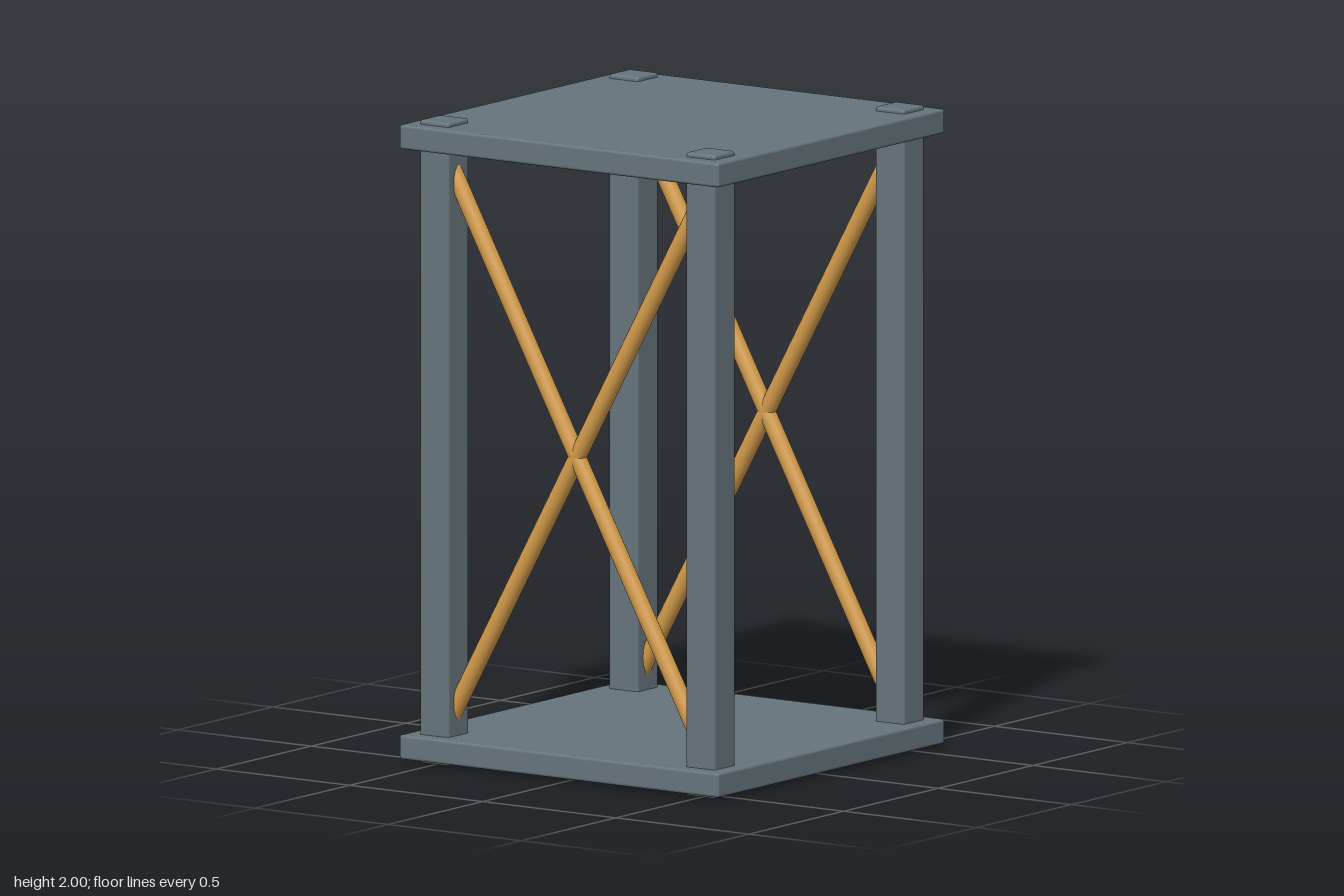
import * as THREE from 'three';
import { RoundedBoxGeometry } from 'three/addons/geometries/RoundedBoxGeometry.js';

export function createModel() {
  const model = new THREE.Group();
  model.name = 'bracedTower';

  const slate = new THREE.MeshStandardMaterial({ name: 'slate grey', color: 0x66747c });
  const brass = new THREE.MeshStandardMaterial({ name: 'brass', color: 0xd49c4b });

  const add = (name, geometry, material, x, y, z) => {
    const mesh = new THREE.Mesh(geometry, material);
    mesh.name = name;
    mesh.position.set(x, y, z);
    model.add(mesh);
    return mesh;
  };

  // Square plates with softly bevelled edges
  const plate = new RoundedBoxGeometry(1.2, 0.076, 1.2, 2, 0.009);
  add('bottomPlate', plate, slate, 0, 0.052, 0);
  add('topPlate', plate, slate, 0, 1.948, 0);

  // Corner posts pass through both plates and stand slightly proud of them
  const post = new RoundedBoxGeometry(0.11, 2, 0.11, 2, 0.009);
  for (const [side, x] of [['left', 0.5], ['right', -0.5]]) {
    for (const [end, z] of [['Front', 0.5], ['Back', -0.5]]) {
      add(`${side}${end}Post`, post, slate, x, 1, z);
    }
  }

  // Crossed round braces on the left and right sides, ending inside the posts
  const run = 0.49, rise = 0.888;
  const rod = new THREE.CylinderGeometry(0.027, 0.027, 2 * Math.hypot(run, rise), 16);
  for (const [side, x] of [['left', 0.5], ['right', -0.5]]) {
    for (const [lean, s] of [['Forward', 1], ['Backward', -1]]) {
      add(`${side}${lean}Brace`, rod, brass, x, 1, 0).rotation.x = s * Math.atan2(run, rise);
    }
  }

  return model;
}
